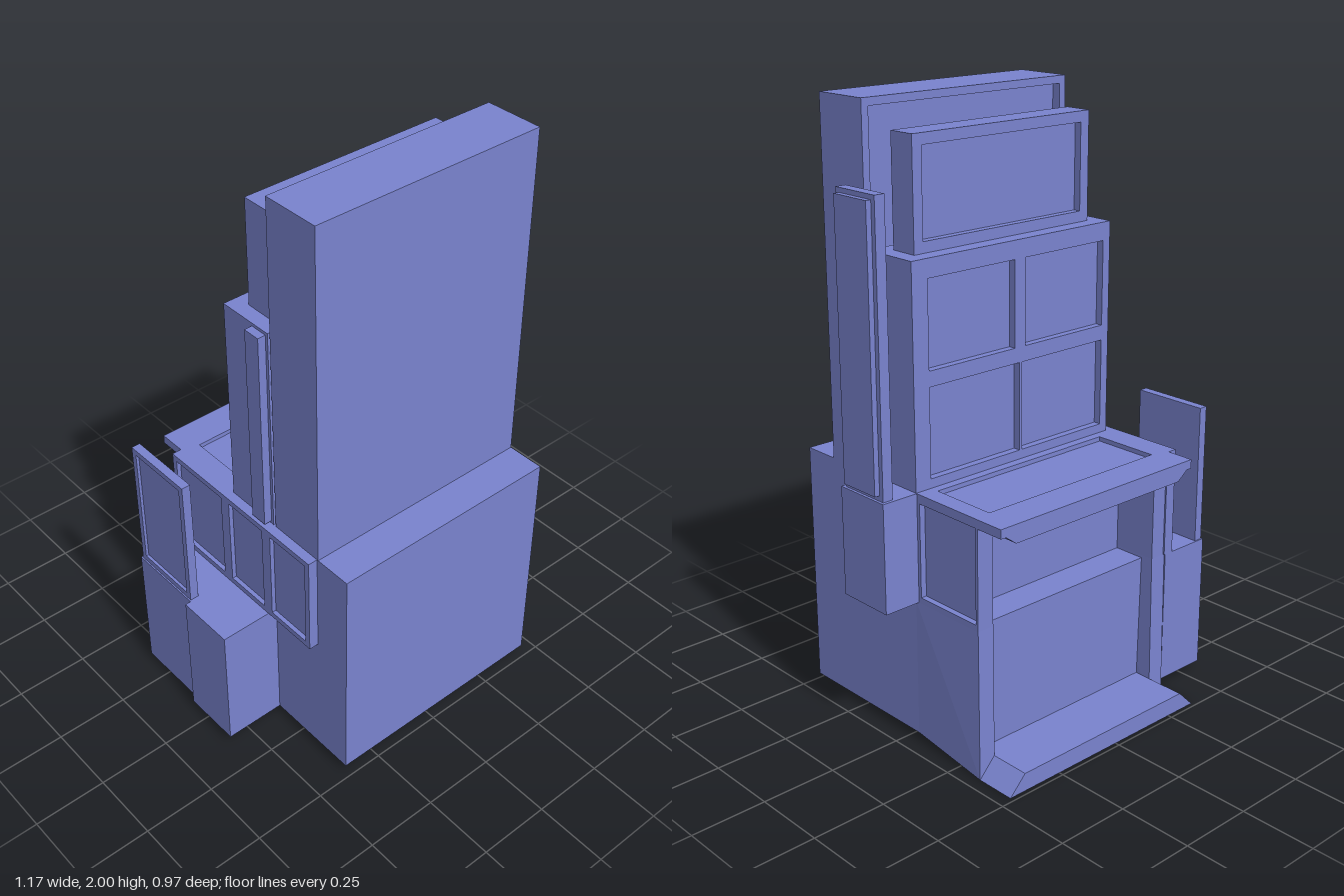
import * as THREE from 'three';
import { ConvexGeometry } from 'three/addons/geometries/ConvexGeometry.js';

const material = new THREE.MeshStandardMaterial({ color: 0x7a84d0, flatShading: true });

export function createModel() {
  const model = new THREE.Group();

  const add = (name, geometry, parent = model) => {
    const mesh = new THREE.Mesh(geometry, material);
    mesh.name = name;
    parent.add(mesh);
    return mesh;
  };

  // Plain block from its limits on each axis
  const block = (name, [x0, x1], [y0, y1], [z0, z1]) =>
    add(name, new THREE.BoxGeometry(x1 - x0, y1 - y0, z1 - z0)
      .translate((x0 + x1) / 2, (y0 + y1) / 2, (z0 + z1) / 2));

  // Tapered solid between a lower and an upper loop of corners
  const taper = (name, lower, upper) =>
    add(name, new ConvexGeometry([...lower, ...upper].map((p) => new THREE.Vector3(...p))));

  const outline = (Type, [u0, u1, v0, v1]) => {
    const s = new Type();
    s.moveTo(u0, v0).lineTo(u1, v0).lineTo(u1, v1).lineTo(u0, v1).closePath();
    return s;
  };

  // Block whose outer face (+w) has sunken panels; rects are [u0, u1, v0, v1]
  const turns = { back: [0, Math.PI], left: [0, Math.PI / 2], right: [0, -Math.PI / 2], top: [-Math.PI / 2, 0] };
  const panelled = (name, facing, rect, [w0, w1], sunken, depth) => {
    const group = new THREE.Group();
    group.name = name;
    const slab = (part, holes, from, to) => {
      const shape = outline(THREE.Shape, rect);
      shape.holes = holes.map((h) => outline(THREE.Path, h));
      add(part, new THREE.ExtrudeGeometry(shape, { depth: to - from, bevelEnabled: false }).translate(0, 0, from), group);
    };
    slab(name + 'Core', [], w0, w1 - depth);
    slab(name + 'Frame', sunken, w1 - depth, w1);
    group.rotation.set(turns[facing][0], turns[facing][1], 0);
    model.add(group);
  };
  const inset = ([a, b, c, d], m) => [a + m, b - m, c + m, d - m];

  const W = [-0.375, 0.445];

  // Main body and tall front board
  block('base', W, [0.03, 0.85], [-0.06, 0.48]);
  const board = [-0.445, 0.375, 0.85, 2];
  panelled('frontBoard', 'back', board, [-0.35, -0.15], [inset(board, 0.025)], 0.03);

  // Stepped cabinets behind the board
  panelled('middleCabinet', 'back', [-0.445, 0.375, 0.85, 1.56], [-0.14, 0.06], [
    [-0.385, -0.04, 1.22, 1.5], [0.005, 0.345, 1.22, 1.5],
    [-0.385, -0.02, 0.88, 1.17], [-0.01, 0.345, 0.88, 1.17],
  ], 0.025);
  const upper = [-0.39, 0.325, 1.56, 1.91];
  panelled('upperCabinet', 'back', upper, [-0.088, 0.007], [inset(upper, 0.035)], 0.025);
  block('cabinetSideStrip', [-0.402, -0.375], [0.86, 1.55], [0.07, 0.13]);

  // Alcove at the back: flared lower walls
  for (const [name, x0, x1] of [['leftLowerWall', 0.385, 0.445], ['rightLowerWall', -0.375, -0.315]]) {
    taper(name,
      [[x0 + 0.01, 0.03, -0.05], [x1, 0.03, -0.05], [x1 + 0.01, 0, -0.35], [x0 + 0.01, 0, -0.35]],
      [[x0, 0.49, -0.05], [x1, 0.49, -0.05], [x1, 0.49, -0.335], [x0, 0.49, -0.335]]);
  }

  // Upper alcove walls
  panelled('leftUpperWall', 'left', [0.05, 0.335, 0.49, 0.85], [0.385, 0.445], [[0.075, 0.325, 0.51, 0.835]], 0.02);
  block('rightUpperWall', [-0.375, -0.315], [0.49, 0.85], [-0.335, -0.05]);

  // Alcove filling: lower shelf block and the wall above it
  taper('shelfBlock',
    [[-0.32, 0.03, -0.05], [0.4, 0.03, -0.05], [0.4, 0.007, -0.29], [-0.32, 0.007, -0.29]],
    [[-0.32, 0.48, -0.05], [0.4, 0.48, -0.05], [0.4, 0.48, -0.29], [-0.32, 0.48, -0.29]]);
  block('alcoveBackWall', [-0.32, 0.4], [0.48, 0.8], [-0.18, -0.05]);

  // Mitred sill and worktop
  const level = (x0, x1, y, z0, z1) => [[x0, y, z0], [x1, y, z0], [x1, y, z1], [x0, y, z1]];
  taper('sill', level(-0.365, 0.455, 0, -0.485, -0.345), level(-0.305, 0.395, 0.06, -0.485, -0.285));
  taper('worktopUnderside', level(-0.315, 0.385, 0.79, -0.435, -0.06), level(-0.375, 0.445, 0.835, -0.435, -0.06));
  panelled('worktop', 'top', [-0.375, 0.445, 0.06, 0.435], [0.82, 0.85], [[-0.355, 0.42, 0.09, 0.32]], 0.015);

  // Right side: low boxes, framed wall panels and standing screen
  block('rightFrontBox', [-0.585, -0.375], [0.03, 0.49], [-0.065, 0.14]);
  block('rightRearBox', [-0.565, -0.375], [0.03, 0.49], [-0.34, -0.065]);
  for (const [z0, z1] of [[-0.34, -0.065], [-0.065, 0.14], [0.14, 0.345]]) {
    const rect = [z0, z1, 0.49, 0.85];
    panelled('rightWallPanel', 'right', rect, [0.37, 0.408], [inset(rect, 0.02)], 0.015);
  }
  const screen = [-0.335, -0.07, 0.49, 0.96];
  panelled('rightScreen', 'right', screen, [0.53, 0.56], [inset(screen, 0.02)], 0.01);

  // Left side: bracket box carrying a tall screen with a raised panel
  block('leftBox', [0.44, 0.573], [0.49, 0.85], [-0.063, 0.14]);
  block('leftScreen', [0.528, 0.564], [0.85, 1.765], [-0.052, 0.126]);
  block('leftScreenPanel', [0.564, 0.582], [0.868, 1.75], [-0.036, 0.112]);

  return model;
}
